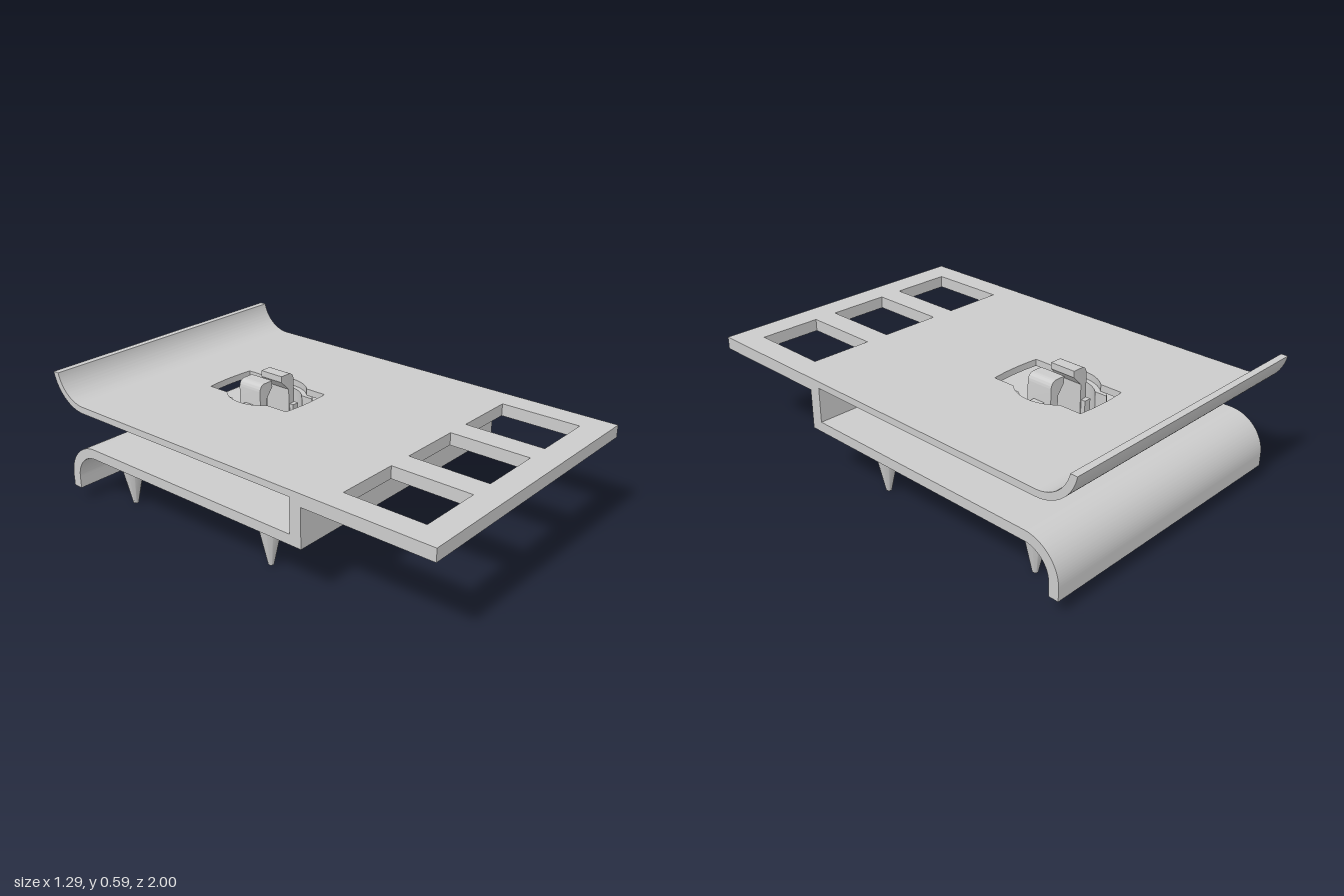
import * as THREE from 'three';
import { toCreasedNormals } from 'three/addons/utils/BufferGeometryUtils.js';

const W = 0.645;       // half width of the plates
const CZ = -0.355;     // z of the snap clip centre

export function createModel() {
  const model = new THREE.Group();
  const mat = new THREE.MeshStandardMaterial({ color: 0xcccccc });

  const add = (name, geo, parent = model) => {
    const mesh = new THREE.Mesh(toCreasedNormals(geo, 0.6), mat);
    mesh.name = name;
    parent.add(mesh);
    return mesh;
  };
  const extrude = (shape, depth) =>
    new THREE.ExtrudeGeometry(shape, { depth, bevelEnabled: false, curveSegments: 24 });
  const rect = (x0, x1, z0, z1) => new THREE.Shape([[x0, z0], [x1, z0], [x1, z1], [x0, z1]]
    .map(([x, z]) => new THREE.Vector2(x, z)));
  const circle = (x, z, r) => new THREE.Shape().absarc(x, z, r, 0, Math.PI * 2);
  // Horizontal slab from an (x, z) outline
  const slab = (shape, holes, y0, y1) => {
    shape.holes.push(...holes);
    return extrude(shape, y1 - y0).rotateX(Math.PI / 2).translate(0, y1, 0);
  };
  // Full-width bar from a (-z, y) profile
  const bar = (shape) => extrude(shape, 2 * W).rotateY(Math.PI / 2).translate(-W, 0, 0);

  // Upper plate: thick front with three windows, thinner rear with the clip opening
  const windows = [-0.395, 0, 0.393].map((x) => rect(x - 0.142, x + 0.142, 0.52, 0.885));
  add('windowPlate', slab(rect(-W, W, 0.355, 1), windows, 0.415, 0.47));

  const R = 0.175, hx = 0.125, a = Math.acos(hx / R);
  const opening = new THREE.Shape();
  opening.moveTo(hx, CZ - 0.225);
  opening.absarc(0, CZ, R, -a, a);
  opening.lineTo(hx, CZ + 0.225);
  opening.quadraticCurveTo(0, CZ + 0.24, -hx, CZ + 0.225);
  opening.absarc(0, CZ, R, Math.PI - a, Math.PI + a);
  opening.lineTo(-hx, CZ - 0.225);
  opening.quadraticCurveTo(0, CZ - 0.24, hx, CZ - 0.225);
  add('upperPlate', slab(rect(-W, W, -0.82, 0.355), [opening], 0.44, 0.47));

  // Upper lip sweeping upward
  const up = new THREE.Shape();
  const end = (r) => -Math.asin(0.03 / r);
  up.absarc(0.82, 0.62, 0.18, -Math.PI / 2, end(0.18));
  up.absarc(0.82, 0.62, 0.15, end(0.15), -Math.PI / 2, true);
  add('upperLip', bar(up));

  // Wall joining the two plates
  add('joiningWall', new THREE.BoxGeometry(2 * W, 0.13, 0.055).translate(0, 0.35, 0.3825));

  // Lower plate, with shallow recesses in its underside
  const slot = () => rect(-0.107, 0.107, CZ - 0.205, CZ + 0.205);
  const floor = () => rect(-W, W, -0.77, 0.41);
  const recesses = [circle(0.37, -0.25, 0.165), circle(-0.015, 0.2, 0.11), rect(-0.5, -0.39, -0.56, 0.01)];
  add('lowerPlate', slab(floor(), [slot()], 0.246, 0.285));
  add('undersideSkin', slab(floor(), [slot(), ...recesses], 0.24, 0.246));

  // Lower lip curling downward
  const down = new THREE.Shape();
  down.moveTo(0.89, 0.065);
  down.lineTo(0.935, 0.065);
  down.absarc(0.77, 0.12, 0.165, 0, Math.PI / 2);
  down.absarc(0.77, 0.12, 0.12, Math.PI / 2, 0, true);
  add('lowerLip', bar(down));

  // Four pointed feet
  const footProfile = [[0, 0], [0.012, 0], [0.055, 0.205], [0.058, 0.245], [0, 0.245]]
    .map(([r, y]) => new THREE.Vector2(r, y));
  for (const x of [-0.5, 0.5]) for (const z of [0.12, -0.7]) {
    add('foot', new THREE.LatheGeometry(footProfile, 32)).position.set(x, 0, z);
  }

  // Snap clip: two identical halves facing each other
  const hook = new THREE.Shape();
  hook.moveTo(0.07, 0.24);
  hook.lineTo(0.108, 0.24);
  hook.lineTo(0.108, 0.505);
  hook.quadraticCurveTo(0.105, 0.54, 0.075, 0.54);
  hook.lineTo(0.03, 0.54);
  hook.lineTo(0.03, 0.512);
  hook.lineTo(0.07, 0.47);
  for (const turn of [0, Math.PI]) {
    const half = new THREE.Group();
    half.name = 'clipHalf';
    half.position.z = CZ;
    half.rotation.y = turn;
    model.add(half);

    // Curved guard, slightly narrower at the top
    const ring = new THREE.Shape();
    const ao = Math.acos(0.11 / 0.205), ai = Math.acos(0.11 / 0.157);
    ring.absarc(0, 0, 0.205, -ao, ao);
    ring.absarc(0, 0, 0.157, ai, -ai, true);
    const guard = slab(ring, [], 0.285, 0.44);
    const p = guard.attributes.position;
    for (let i = 0; i < p.count; i++) {
      const k = p.getY(i) > 0.36 ? 0.97 : 1;
      p.setX(i, p.getX(i) * k);
      p.setZ(i, p.getZ(i) * k);
    }
    add('clipGuard', guard, half);

    // Hook narrowing a little toward its tip
    const hookGeo = extrude(hook, 0.13).translate(0, 0, -0.065);
    const q = hookGeo.attributes.position;
    for (let i = 0; i < q.count; i++) if (q.getY(i) > 0.5) q.setZ(i, q.getZ(i) * 0.93);
    add('clipHook', hookGeo, half);

    add('clipRoot', new THREE.BoxGeometry(0.034, 0.16, 0.17).translate(0.092, 0.32, 0), half);
    add('clipRib', new THREE.BoxGeometry(0.036, 0.155, 0.055).translate(0.125, 0.3625, 0), half);
  }
  return model;
}
